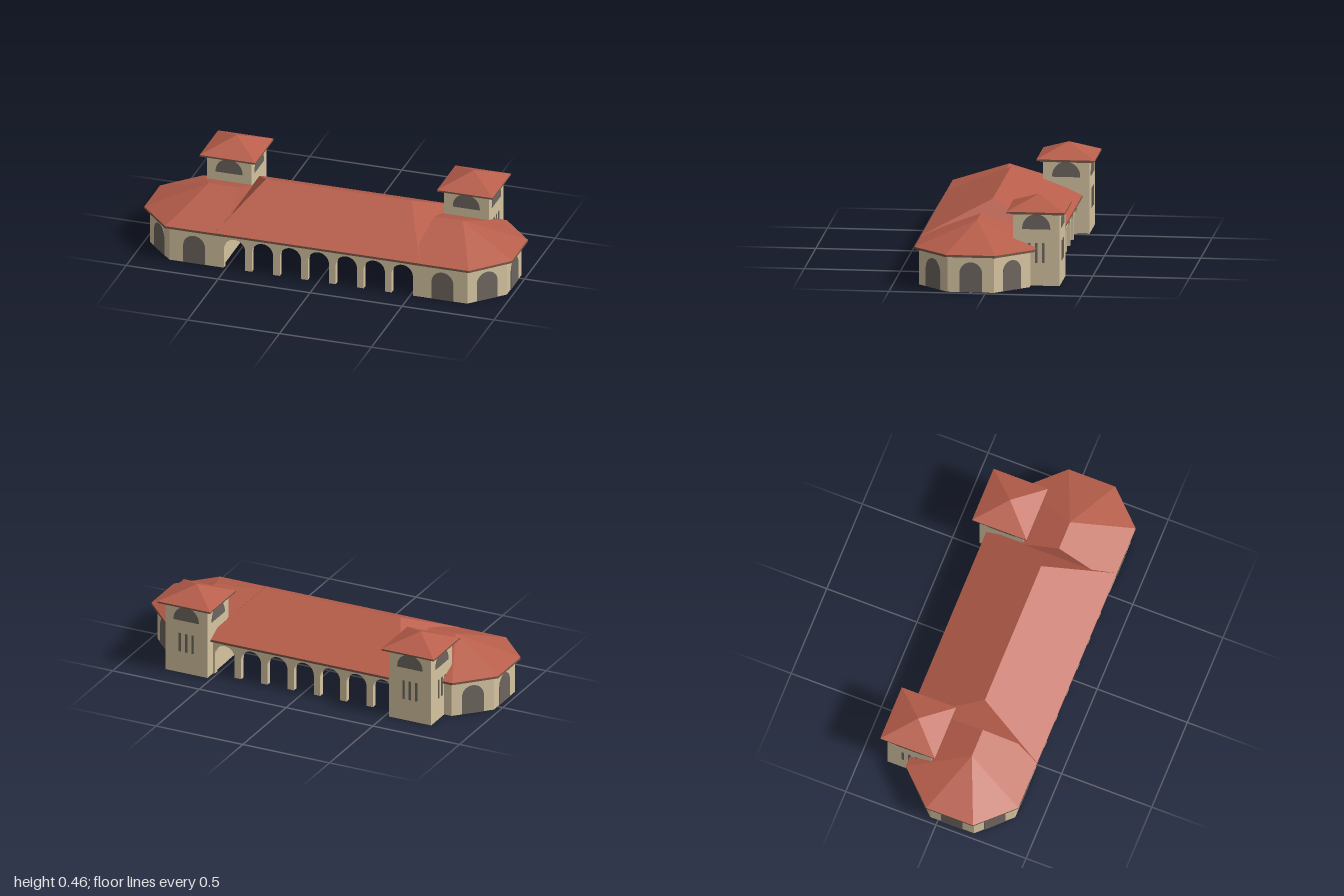
import * as THREE from 'three';

const mat = (name, color, side = THREE.FrontSide) => {
  const m = new THREE.MeshStandardMaterial({ color, side });
  m.name = name;
  return m;
};

export function createModel() {
  const wall = mat('sandstone', 0xd6c4a1, THREE.DoubleSide);
  const tile = mat('roof tile', 0xb85e4b, THREE.DoubleSide);
  const trim = mat('eave brown', 0x7a5846);
  const pane = mat('window grey', 0x6e665f);
  const model = new THREE.Group();
  model.name = 'arcadedPavilion';

  const add = (parent, name, geometry, material) => {
    const mesh = new THREE.Mesh(geometry, material);
    mesh.name = name;
    parent.add(mesh);
    return mesh;
  };
  const addGroup = (name) => {
    const g = new THREE.Group();
    g.name = name;
    model.add(g);
    return g;
  };
  const fromTriangles = (points) => {
    const g = new THREE.BufferGeometry();
    g.setAttribute('position', new THREE.Float32BufferAttribute(points.flat(), 3));
    g.computeVertexNormals();
    return g;
  };
  const box = (parent, name, x, z, w, d, y0, y1, material) =>
    add(parent, name, new THREE.BoxGeometry(w, y1 - y0, d), material).position.set(x, (y0 + y1) / 2, z);

  // Flat slab over an [x, z] outline
  const slab = (outline, y0, y1) => {
    const shape = new THREE.Shape(outline.map(([x, z]) => new THREE.Vector2(x, -z)));
    return new THREE.ExtrudeGeometry(shape, { depth: y1 - y0, bevelEnabled: false })
      .rotateX(-Math.PI / 2).translate(0, y0, 0);
  };

  // Hip roof: each eave corner rises to its matching ridge point
  const hipRoof = (eave, tops, y0, y1) => {
    const tris = [];
    const push = (a, b, c) => {
      const ny = (b[2] - a[2]) * (c[0] - a[0]) - (b[0] - a[0]) * (c[2] - a[2]);
      tris.push(...(ny >= 0 ? [a, b, c] : [a, c, b]));
    };
    eave.forEach((p, i) => {
      const j = (i + 1) % eave.length, q = eave[j];
      const a = [p[0], y0, p[1]], b = [q[0], y0, q[1]];
      const ta = [tops[i][0], y1, tops[i][1]], tb = [tops[j][0], y1, tops[j][1]];
      push(a, b, tb);
      if (ta[0] !== tb[0] || ta[2] !== tb[2]) push(a, tb, ta);
    });
    return fromTriangles(tris);
  };

  // Thin window plate, facing along the angle around y
  const plate = (parent, name, width, y0, y1, arched, x, z, angle) => {
    const r = width / 2, s = new THREE.Shape();
    s.moveTo(-r, y0);
    s.lineTo(r, y0);
    if (arched) {
      s.lineTo(r, y1 - r);
      s.absarc(0, y1 - r, r, 0, Math.PI, false);
    } else {
      s.lineTo(r, y1);
      s.lineTo(-r, y1);
    }
    s.closePath();
    const g = new THREE.ExtrudeGeometry(s, { depth: 0.003, bevelEnabled: false, curveSegments: 10 });
    const m = add(parent, name, g, pane);
    m.position.set(x, 0, z);
    m.rotation.y = angle;
  };

  // Central hall: open arcades front and back under a hip roof
  const hall = addGroup('hall');
  const arcade = new THREE.Shape();
  arcade.moveTo(-0.53, 0.19);
  arcade.lineTo(-0.53, 0);
  for (let i = -3; i <= 3; i++) {
    const c = i * 0.152, r = 0.0575;
    arcade.lineTo(c - r, 0);
    arcade.lineTo(c - r, 0.111);
    arcade.absarc(c, 0.111, r, Math.PI, 0, true);
    arcade.lineTo(c + r, 0);
  }
  arcade.lineTo(0.53, 0);
  arcade.lineTo(0.53, 0.19);
  arcade.closePath();
  for (const [name, z] of [['frontArcade', 0.335], ['backArcade', -0.295]]) {
    const g = new THREE.ExtrudeGeometry(arcade, { depth: 0.03, bevelEnabled: false, curveSegments: 12 });
    add(hall, name, g, wall).position.z = z;
  }
  const hallEave = [[-0.56, 0.388], [0.56, 0.388], [0.56, -0.322], [-0.56, -0.322]];
  add(hall, 'hallEave', slab(hallEave, 0.19, 0.202), trim);
  const hallTops = [[-0.395, 0.033], [0.395, 0.033], [0.395, 0.033], [-0.395, 0.033]];
  add(hall, 'hallRoof', hipRoof(hallEave, hallTops, 0.202, 0.373), tile);

  for (const s of [1, -1]) {
    const side = s > 0 ? 'left' : 'right';

    // End wing with chamfered corners, open underneath
    const wing = addGroup(side + 'Wing');
    const plan = [[0.525, 0.365], [0.81, 0.365], [0.97, 0.2], [0.97, -0.043], [0.81, -0.209], [0.525, -0.209]]
      .map(([x, z]) => [s * x, z]);
    const quads = [];
    plan.forEach(([x, z], i) => {
      const [u, w] = plan[(i + 1) % plan.length];
      const a = [x, 0, z], b = [u, 0, w], c = [u, 0.19, w], d = [x, 0.19, z];
      quads.push(...(s > 0 ? [a, b, c, a, c, d] : [a, c, b, a, d, c]));
    });
    add(wing, 'wingWalls', fromTriangles(quads), wall);

    const eave = [[0.5, 0.388], [0.825, 0.388], [1, 0.206], [1, -0.053], [0.825, -0.236], [0.5, -0.236]]
      .map(([x, z]) => [s * x, z]);
    const inner = [s * 0.535, 0.077], outer = [s * 0.69, 0.077];
    add(wing, 'wingEave', slab(eave, 0.189, 0.201), trim);
    add(wing, 'wingRoof', hipRoof(eave, [inner, outer, outer, outer, outer, inner], 0.201, 0.325), tile);

    const q = Math.PI / 4;
    for (const [x, z, angle] of [[0.675, 0.365, 0], [0.89, 0.2825, q], [0.97, 0.078, 2 * q], [0.89, -0.126, 3 * q]])
      plate(wing, 'wingWindow', 0.118, 0.001, 0.158, true, s * x, z, s * angle);

    // Square tower behind the wing
    const tower = addGroup(side + 'Tower');
    const tx = s * 0.645, tz = -0.238, h = 0.1215;
    box(tower, 'towerShaft', tx, tz, 2 * h, 2 * h, 0, 0.378, wall);
    box(tower, 'towerCornice', tx, tz, 0.268, 0.268, 0.376, 0.384, trim);
    box(tower, 'towerEave', tx, tz, 0.302, 0.302, 0.383, 0.392, trim);
    const e = 0.151, corners = [[-e, e], [e, e], [e, -e], [-e, -e]].map(([x, z]) => [tx + x, tz + z]);
    add(tower, 'towerRoof', hipRoof(corners, corners.map(() => [tx, tz]), 0.392, 0.46), tile);
    for (let k = 0; k < 4; k++) {
      const a = k * Math.PI / 2, nx = Math.sin(a), nz = Math.cos(a);
      plate(tower, 'belfryOpening', 0.146, 0.297, 0.376, true, tx + nx * h, tz + nz * h, a);
      // Slit windows on the back and outer faces
      if (k === 2 || k === (s > 0 ? 1 : 3))
        for (const o of [-0.037, 0, 0.037])
          plate(tower, 'slitWindow', 0.013, 0.12, 0.225, false, tx + nx * h + nz * o, tz + nz * h - nx * o, a);
    }
  }
  return model;
}
